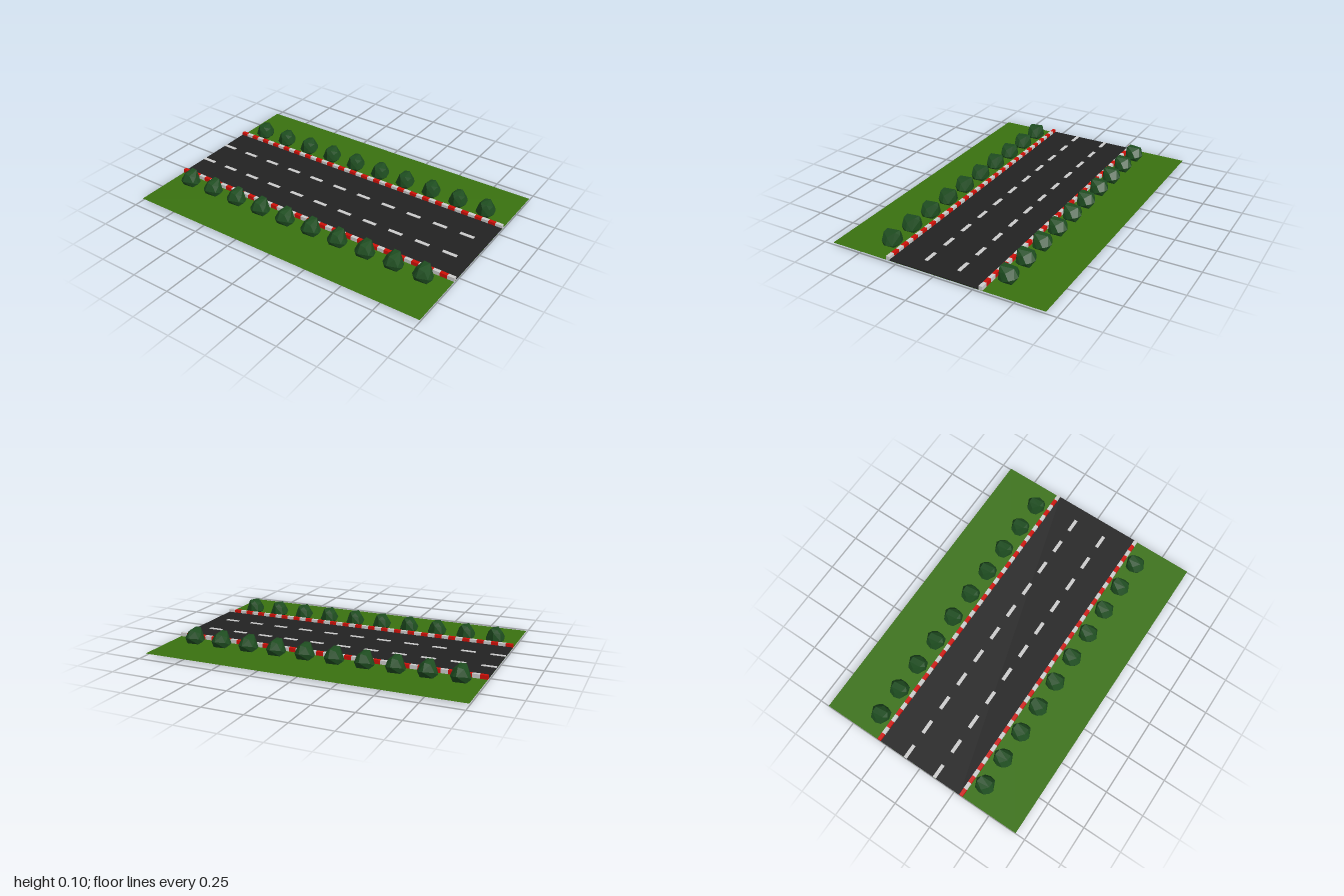
import * as THREE from 'three';
import { ConvexGeometry } from 'three/addons/geometries/ConvexGeometry.js';

const mat = (color, extra = {}) => new THREE.MeshStandardMaterial({ color, ...extra });

export function createModel() {
  const root = new THREE.Group();
  const grassMat = mat(0x3a7210, { side: THREE.DoubleSide });
  const roadMat = mat(0x222222);
  const greyMat = mat(0xcccccc);
  const redMat = mat(0xd01008);
  const bushMat = mat(0x1e4d20, { flatShading: true });

  const add = (name, geometry, material, x, y, z, parent = root) => {
    const mesh = new THREE.Mesh(geometry, material);
    mesh.name = name;
    mesh.position.set(x, y, z);
    parent.add(mesh);
    return mesh;
  };

  // Grass sheet under everything, with the road slab on top
  add('grass', new THREE.PlaneGeometry(2, 1.374).rotateX(-Math.PI / 2), grassMat, 0, 0.013, 0);
  add('road', new THREE.BoxGeometry(2, 0.006, 0.58), roadMat, 0, 0.017, 0);

  // Dashed lane markings
  const dashCount = 11;
  const dashStep = 2 / dashCount;
  const dashGeo = new THREE.BoxGeometry(dashStep / 2, 0.004, 0.022);

  // Kerb blocks, alternating red and grey
  const kerbCount = 44;
  const kerbStep = 2 / kerbCount;
  const kerbGeo = new THREE.BoxGeometry(kerbStep, 0.024, 0.022);

  // Low-poly bush: a faceted lump, +z pointing away from the road
  const bushGeo = new ConvexGeometry([
    [-0.02, 0.103, -0.045], [0.02, 0.105, -0.04], [-0.01, 0.102, 0.035], [0.025, 0.095, 0.035],
    [-0.045, 0.08, 0], [0.045, 0.075, 0], [-0.04, 0.075, -0.04], [0, 0.085, -0.06],
    [-0.055, 0.045, 0.025], [0.05, 0.05, 0.035], [-0.01, 0.055, 0.062], [-0.035, 0.05, 0.05],
    [-0.045, 0.03, -0.045], [0, 0.03, -0.06], [0.05, 0.03, -0.035],
    [0.06, 0.03, 0], [-0.058, 0.03, -0.01],
    [-0.035, 0.014, 0.035], [0.04, 0.014, 0.03],
    [0, 0, -0.012], [-0.03, 0.01, -0.035], [0.03, 0.01, -0.035],
  ].map((p) => new THREE.Vector3(...p)));

  for (const side of [1, -1]) {
    const label = side > 0 ? 'front' : 'back';
    const group = (name) => {
      const g = new THREE.Group();
      g.name = label + name;
      root.add(g);
      return g;
    };

    const lane = group('LaneMarkings');
    for (let i = 0; i < dashCount; i++) {
      add('laneDash', dashGeo, greyMat, -1 + (i + 0.25) * dashStep, 0.021, side * 0.107, lane);
    }

    const kerb = group('Kerb');
    for (let i = 0; i < kerbCount; i++) {
      add('kerbBlock', kerbGeo, i % 2 ? greyMat : redMat, -1 + (i + 0.5) * kerbStep, 0.026, side * 0.3, kerb);
    }

    const hedge = group('Bushes');
    for (let i = 0; i < 10; i++) {
      const bush = add('bush', bushGeo, bushMat, -0.867 + i * 0.1902, 0, side * 0.385, hedge);
      if (side < 0) bush.rotation.y = Math.PI;
    }
  }
  return root;
}
